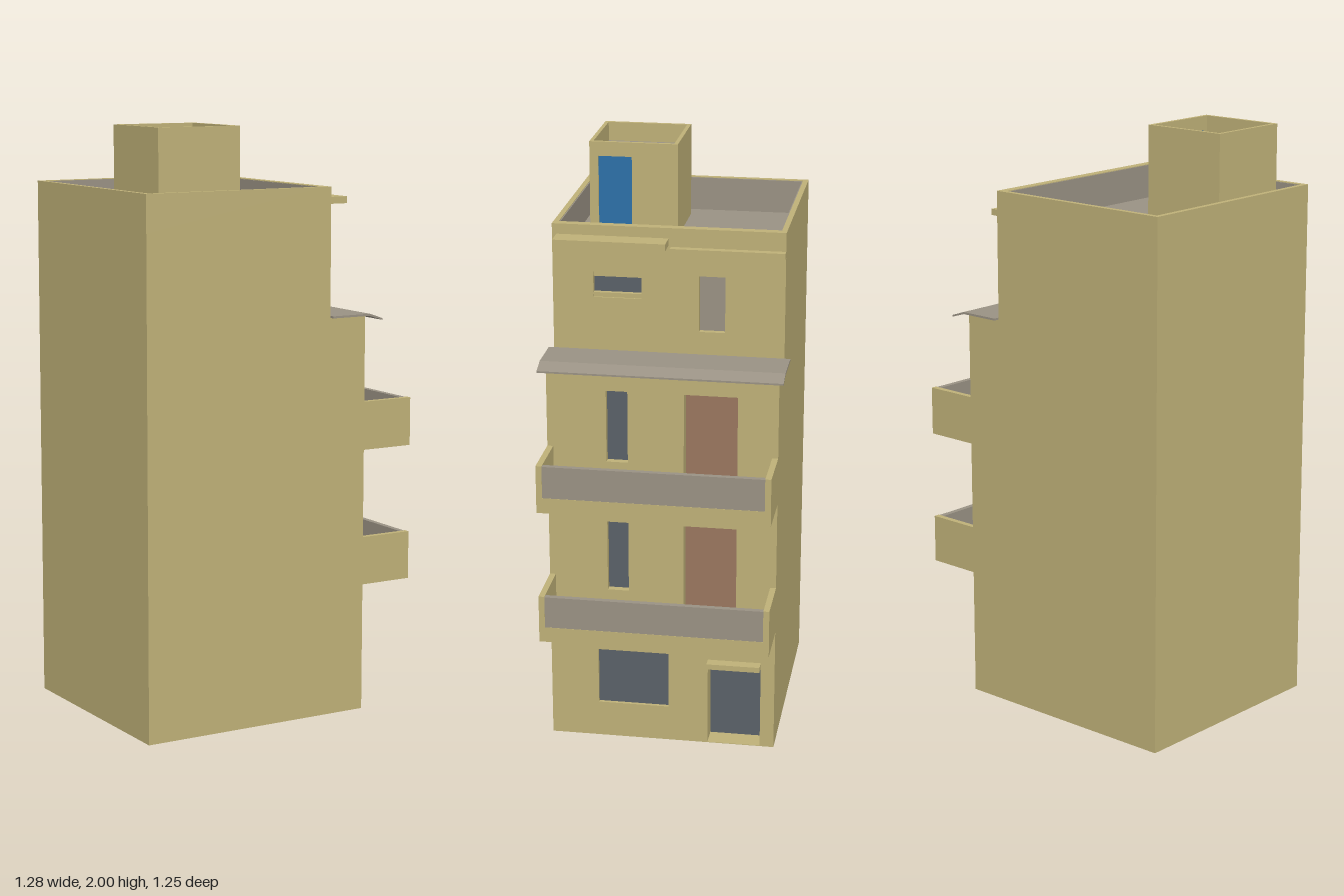
import * as THREE from 'three';

const W = 0.774, LOW = 0.833, UP = 0.694, BALC = 1.022; // width and depths of storeys
const FLOOR2 = 1.365, ROOF = 1.68, TOP = 1.797;

export function createModel() {
  const mat = (name, color) => {
    const m = new THREE.MeshStandardMaterial({ color });
    m.name = name;
    return m;
  };
  const tan = mat('tan plaster', 0xbfb178);
  const grey = mat('grey concrete', 0x9a9284);
  const dark = mat('dark glass', 0x5a6168);
  const brown = mat('brown wood', 0x9a775f);
  const blue = mat('blue paint', 0x2c70a8);

  const model = new THREE.Group();
  model.name = 'townhouse';
  // local frame: x along the street facade, z out of it, origin at a rear corner
  const house = new THREE.Group();
  house.name = 'house';
  house.position.set(-0.138, 0, 0.627);
  house.rotation.y = 2.278;
  model.add(house);

  const add = (name, geo, m) => {
    const mesh = new THREE.Mesh(geo, m);
    mesh.name = name;
    house.add(mesh);
    return mesh;
  };
  // box given by its extents
  const box = (name, m, x0, x1, y0, y1, z0, z1) => add(name,
    new THREE.BoxGeometry(x1 - x0, y1 - y0, z1 - z0)
      .translate((x0 + x1) / 2, (y0 + y1) / 2, (z0 + z1) / 2), m);

  // wall with rectangular openings, each filled by a recessed panel
  const wall = (name, x0, x1, y0, y1, zFront, t, openings) => {
    const rect = (P, a, b, c, d) => {
      const p = new P();
      p.moveTo(a, c); p.lineTo(b, c); p.lineTo(b, d); p.lineTo(a, d); p.closePath();
      return p;
    };
    const shape = rect(THREE.Shape, x0, x1, y0, y1);
    for (const o of openings) {
      shape.holes.push(rect(THREE.Path, o.x[0], o.x[1], o.y[0], o.y[1]));
      const z = zFront - o.recess;
      box(o.name, o.m, o.x[0], o.x[1], o.y[0], o.y[1], z - 0.006, z);
    }
    add(name, new THREE.ExtrudeGeometry(shape, { depth: t, bevelEnabled: false })
      .translate(0, 0, zFront - t), tan);
  };

  // lower storeys
  const t = 0.09;
  box('lowerBody', tan, 0, W, 0, FLOOR2, 0, LOW - t);
  const openings = [
    { name: 'groundWindow', m: dark, x: [0.164, 0.408], y: [0.127, 0.329], recess: 0.012 },
    { name: 'entranceDoor', m: dark, x: [0.544, 0.726], y: [0.002, 0.3], recess: 0.073 },
  ];
  const slabs = [0.437, 0.904];
  for (const s of slabs) {
    openings.push(
      { name: 'balconyWindow', m: dark, x: [0.2, 0.272], y: [s + 0.12, s + 0.37], recess: 0.024 },
      { name: 'balconyDoor', m: brown, x: [0.46, 0.639], y: [s + 0.057, s + 0.37], recess: 0.045 });
  }
  wall('lowerFacade', 0, W, 0, FLOOR2, LOW, t, openings);
  box('entranceCanopy', tan, 0.544, 0.726, 0.299, 0.318, LOW - 0.01, LOW + 0.037);

  // balconies
  for (const s of slabs) {
    const f = s + 0.056, top = s + 0.165;
    box('balconySlab', tan, 0, W, s, f - 0.003, LOW - 0.01, BALC);
    box('balconyFloor', grey, 0.02, W - 0.02, f - 0.003, f, LOW, BALC - 0.02);
    for (const x of [0, W - 0.02]) box('balconyEnd', tan, x, x + 0.02, f - 0.003, top, LOW - 0.01, BALC);
    box('balconyFrontPanel', grey, 0.02, W - 0.02, f - 0.003, top - 0.002, BALC - 0.02, BALC - 0.001);
  }

  // set-back top storey
  box('upperBody', tan, 0, W, FLOOR2, ROOF - 0.004, 0, UP - 0.03);
  wall('upperFacade', 0, W, FLOOR2, TOP, UP, 0.03, [
    { name: 'wideUpperWindow', m: dark, x: [0.136, 0.297], y: [1.551, 1.638], recess: 0.023 },
    { name: 'narrowUpperWindow', m: grey, x: [0.489, 0.576], y: [1.447, 1.638], recess: 0.02 },
  ]);
  for (const [a, b] of [[1.551, 1.566], [1.622, 1.638]])
    box('wideWindowRail', tan, 0.136, 0.297, a, b, UP - 0.023, UP - 0.006);
  box('deepLedge', tan, 0.015, 0.388, 1.739, 1.762, UP - 0.01, UP + 0.072);
  box('shallowLedge', tan, 0.395, W, 1.713, 1.734, UP - 0.01, UP + 0.025);

  // thin awning over the lower storeys, bent down at its outer edge
  const profile = new THREE.Shape([
    [UP, 1.362], [LOW + 0.005, 1.362], [0.892, 1.345], [0.892, 1.351], [LOW + 0.007, 1.369], [UP, 1.369],
  ].map(([z, y]) => new THREE.Vector2(z, y)));
  add('awning', new THREE.ExtrudeGeometry(profile, { depth: W + 0.038, bevelEnabled: false })
    .rotateY(-Math.PI / 2).translate(W + 0.02, 0, 0), grey);

  // roof deck and parapets with grey inner linings
  const p = 0.018, l = 0.004;
  box('roofDeck', grey, p, W - p, ROOF - 0.004, ROOF, p, UP - 0.03);
  box('rearParapet', tan, 0, W, ROOF - 0.004, TOP, 0, p);
  box('rearLining', grey, p, W - p, ROOF, TOP - 0.002, p, p + l);
  box('frontLining', grey, p, W - p, ROOF, TOP - 0.002, UP - 0.03 - l, UP - 0.03);
  for (const [a, b, c] of [[0, p, p], [W - p, W, W - p - l]]) {
    box('sideParapet', tan, a, b, ROOF - 0.004, TOP, p, UP - 0.03);
    box('sideLining', grey, c, c + l, ROOF, TOP - 0.002, p, UP - 0.03);
  }

  // stair tower on the roof
  const [x0, x1, z0, z1] = [0.068, 0.37, 0.082, 0.385];
  const q = 0.013, H = 2, deck = 1.935;
  box('towerCore', tan, x0 + q, x1 - q, ROOF, deck - 0.004, z0 + q, z1 - q);
  box('towerDeck', grey, x0 + q, x1 - q, deck - 0.004, deck, z0 + q, z1 - q);
  box('towerRearWall', tan, x0, x1, ROOF, H, z0, z0 + q);
  for (const x of [x0, x1 - q]) box('towerSideWall', tan, x, x + q, ROOF, H, z0 + q, z1 - q);
  wall('towerFrontWall', x0, x1, ROOF, H, z1, q, [
    { name: 'towerDoor', m: blue, x: [0.098, 0.213], y: [ROOF + 0.002, 1.951], recess: 0.007 },
  ]);

  return model;
}
